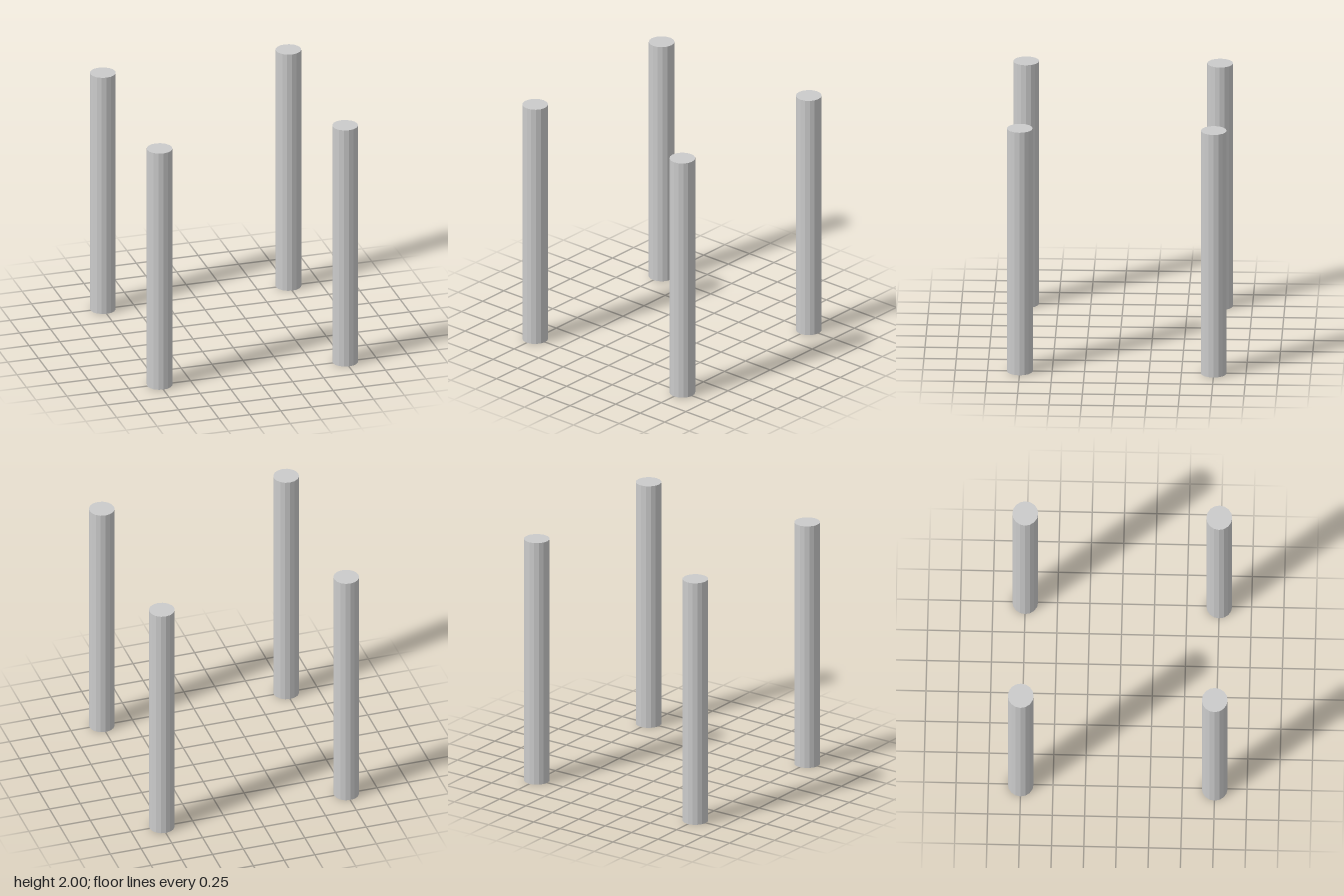
import * as THREE from 'three';

export function createModel() {
  const group = new THREE.Group();
  group.name = 'posts';
  const material = new THREE.MeshStandardMaterial({ color: 0xcccccc, flatShading: true });

  // One round post, repeated at the four corners
  const height = 2, radius = 0.1, offset = 0.75;
  const geometry = new THREE.CylinderGeometry(radius, radius, height, 16);

  for (const [zName, z] of [['front', 1], ['back', -1]]) {
    for (const [xName, x] of [['Left', 1], ['Right', -1]]) {
      const post = new THREE.Mesh(geometry, material);
      post.name = `${zName}${xName}Post`;
      post.position.set(x * offset, height / 2, z * offset);
      group.add(post);
    }
  }
  return group;
}
